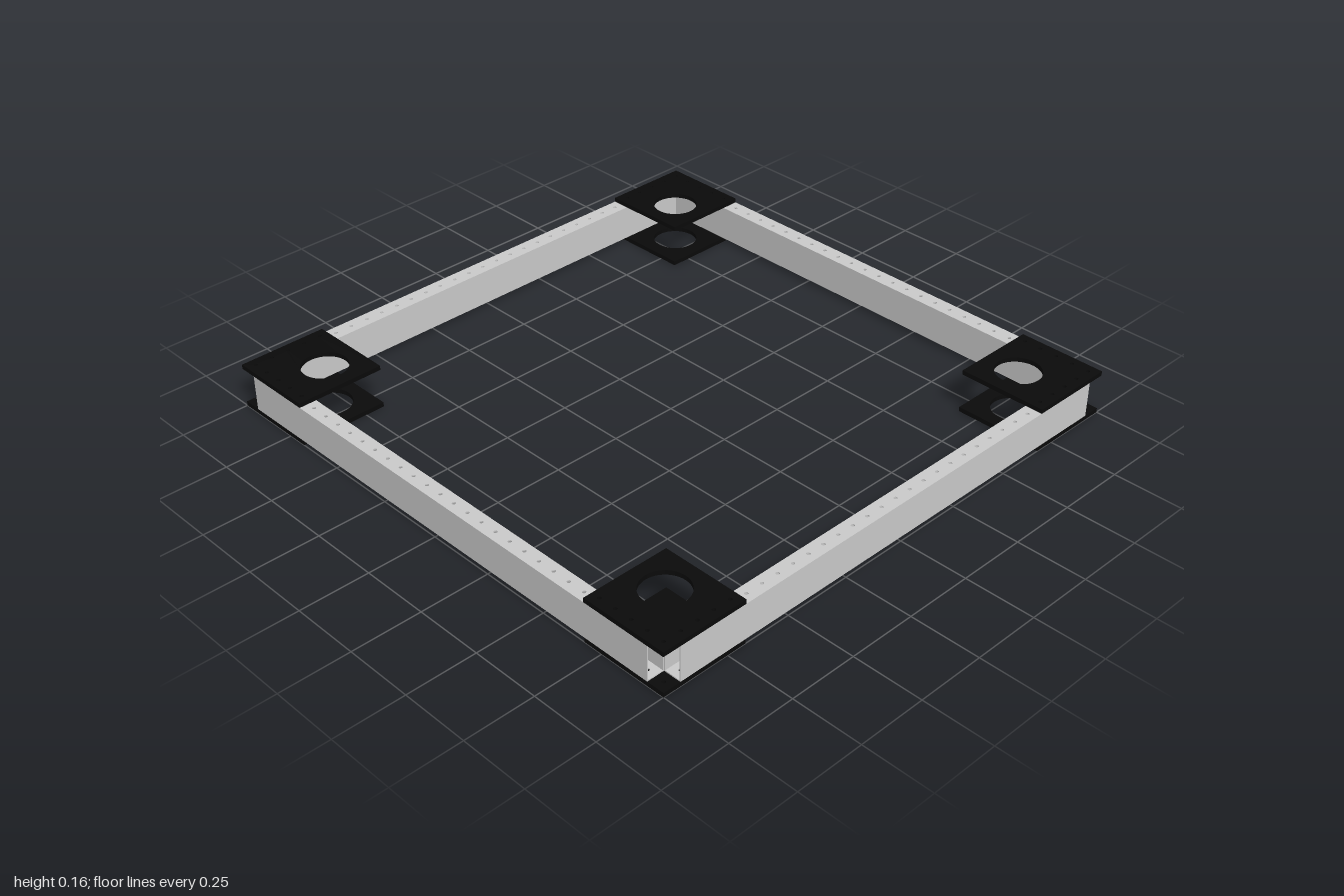
import * as THREE from 'three';

const P = 2 / 31;          // hole pitch, also the tube width
const PLATE = P / 4;       // gusset plate thickness
const WALL = P / 16;       // tube wall thickness
const HEIGHT = 2 * P;      // tube height
const HOLE = 0.0063;       // small hole radius

const metal = new THREE.MeshStandardMaterial({ color: 0xcccccc });
const black = new THREE.MeshStandardMaterial({ color: 0x0a0a0a });

function addHole(shape, x, y, r) {
  const path = new THREE.Path();
  path.absarc(x, y, r, 0, Math.PI * 2, true);
  shape.holes.push(path);
}

function rectangle(x0, y0, x1, y1) {
  return new THREE.Shape([
    new THREE.Vector2(x0, y0), new THREE.Vector2(x1, y0),
    new THREE.Vector2(x1, y1), new THREE.Vector2(x0, y1),
  ]);
}

// Extrude a plan shape upward from y = 0 (shape y becomes -z)
function slab(shape, thickness, curveSegments) {
  const geo = new THREE.ExtrudeGeometry(shape, { depth: thickness, bevelEnabled: false, curveSegments });
  return geo.rotateX(-Math.PI / 2);
}

function addMesh(parent, name, geo, material, x, y, z) {
  const mesh = new THREE.Mesh(geo, material);
  mesh.name = name;
  mesh.position.set(x, y, z);
  parent.add(mesh);
}

export function createModel() {
  const model = new THREE.Group();
  model.name = 'squareFrame';

  // Perforated top and bottom walls of a tube
  const length = 29 * P;
  const wallShape = rectangle(-length / 2, -P / 2, length / 2, P / 2);
  for (let k = -14; k <= 14; k++) addHole(wallShape, k * P, 0, HOLE);
  const perforated = slab(wallShape, WALL, 12);

  // Plain side walls of a tube
  const sideWall = new THREE.BoxGeometry(length, HEIGHT - 2 * WALL, WALL);

  // Corner plate with a row of holes along both outer edges and one large opening
  const plateShape = rectangle(10.5 * P, 10.5 * P, 15.5 * P, 15.5 * P);
  for (let k = 11; k <= 15; k++) {
    addHole(plateShape, k * P, 15 * P, HOLE);
    if (k < 15) addHole(plateShape, 15 * P, k * P, HOLE);
  }
  addHole(plateShape, 12.5 * P, 12.5 * P, 1.25 * P);
  const plate = slab(plateShape, PLATE, 40);

  // Four hollow tubes, open at the ends, and four pairs of plates
  const sides = ['front', 'left', 'back', 'right'];
  const corners = ['backLeft', 'backRight', 'frontRight', 'frontLeft'];
  const midY = PLATE + HEIGHT / 2;
  const inset = (P - WALL) / 2;
  for (let i = 0; i < 4; i++) {
    const tube = new THREE.Group();
    tube.name = sides[i] + 'Tube';
    tube.rotation.y = i * Math.PI / 2;
    addMesh(tube, 'bottomWall', perforated, metal, 0, PLATE, 15 * P);
    addMesh(tube, 'topWall', perforated, metal, 0, PLATE + HEIGHT - WALL, 15 * P);
    addMesh(tube, 'outerWall', sideWall, metal, 0, midY, 15 * P + inset);
    addMesh(tube, 'innerWall', sideWall, metal, 0, midY, 15 * P - inset);
    model.add(tube);

    const corner = new THREE.Group();
    corner.name = corners[i] + 'Plates';
    corner.rotation.y = i * Math.PI / 2;
    addMesh(corner, 'lowerPlate', plate, black, 0, 0, 0);
    addMesh(corner, 'upperPlate', plate, black, 0, PLATE + HEIGHT, 0);
    model.add(corner);
  }
  return model;
}
